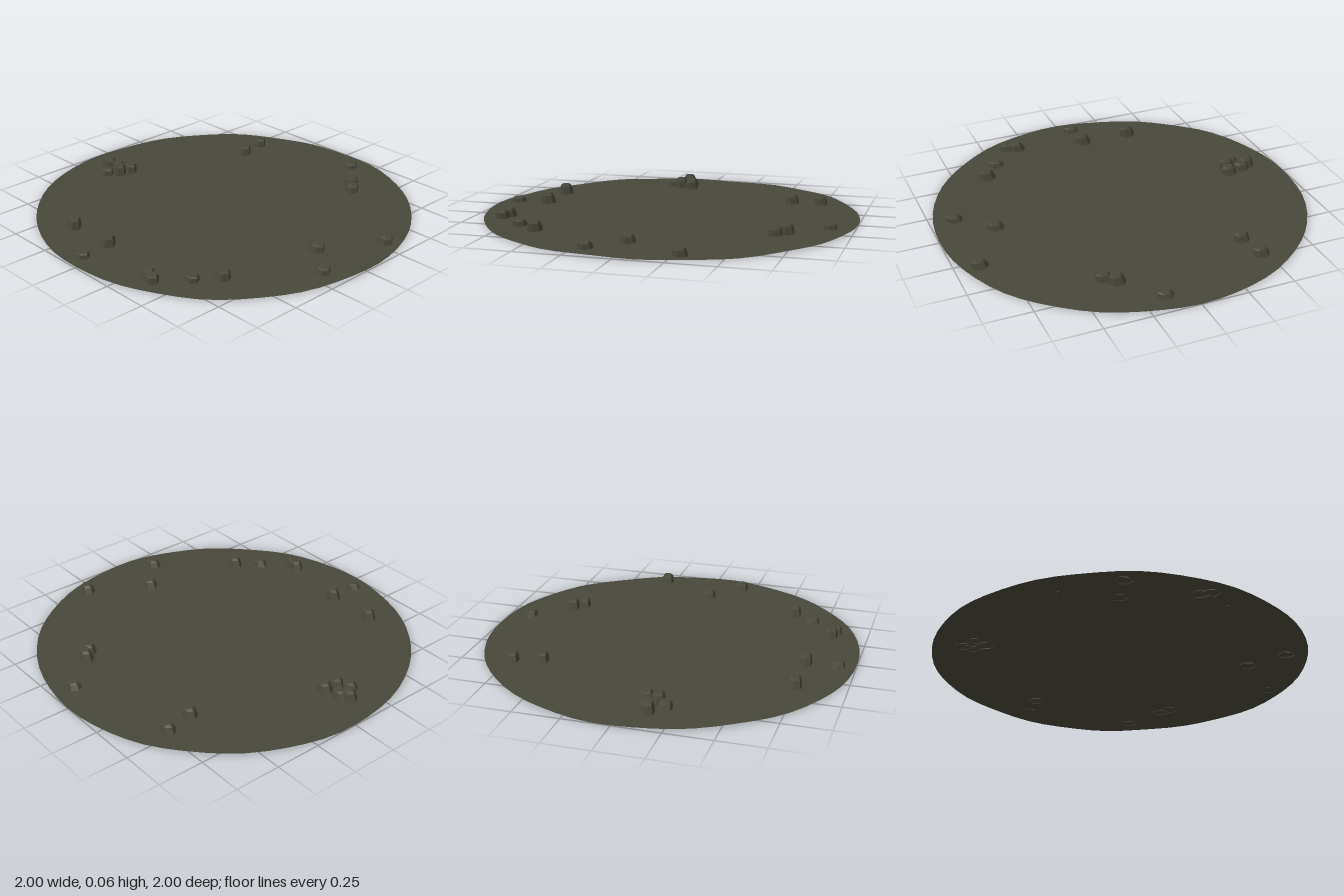
import * as THREE from 'three';

export function createModel() {
  const model = new THREE.Group();
  const earth = new THREE.MeshStandardMaterial({ color: 0x48473b, side: THREE.DoubleSide });
  earth.name = 'dark earth';
  earth.flatShading = true;

  // Ground: a thin fan whose rim rises and dips slightly
  const groundGeo = new THREE.CircleGeometry(1, 64);
  groundGeo.rotateX(-Math.PI / 2);
  const p = groundGeo.attributes.position;
  for (let i = 0; i < p.count; i++) {
    const a = Math.atan2(p.getZ(i), p.getX(i));
    const r = Math.hypot(p.getX(i), p.getZ(i));
    p.setY(i, 0.005 + r * (0.003 * Math.sin(5 * a + 1) + 0.002 * Math.sin(13 * a)));
  }
  groundGeo.computeVertexNormals();
  const ground = new THREE.Mesh(groundGeo, earth);
  ground.name = 'ground';
  model.add(ground);

  // Stone: six-sided, chamfered on top and leaning towards +x; unit height
  const profile = [[0.047, 0], [0.038, 0.78], [0.029, 1], [0, 1]]
    .map(([r, y]) => new THREE.Vector2(r, y));
  const stoneGeo = new THREE.LatheGeometry(profile, 6, Math.PI / 2);
  stoneGeo.scale(1, 1, 0.84);
  const s = stoneGeo.attributes.position;
  for (let i = 0; i < s.count; i++) s.setX(i, s.getX(i) + 0.012 * s.getY(i));
  stoneGeo.computeVertexNormals();

  // Stones: x, z, top height
  const places = [
    [0.13, -0.875, 0.036], [0.3, -0.685, 0.06], [0.35, -0.635, 0.05],
    [-0.465, -0.73, 0.05], [-0.435, -0.575, 0.057], [0.87, -0.29, 0.048],
    [0.69, 0.02, 0.048], [0.867, 0.175, 0.045], [0.57, 0.555, 0.056],
    [0.48, 0.675, 0.036], [0.31, 0.808, 0.055], [0.36, 0.825, 0.05],
    [-0.075, 0.74, 0.064], [-0.355, 0.74, 0.062], [-0.065, 0.91, 0.036],
    [-0.7, 0.08, 0.055], [-0.79, 0.1, 0.05], [-0.832, 0.125, 0.063],
    [-0.718, 0.145, 0.064], [-0.765, 0.195, 0.042],
  ];
  const stones = new THREE.Group();
  stones.name = 'stones';
  places.forEach(([x, z, top], i) => {
    const stone = new THREE.Mesh(stoneGeo, earth);
    stone.name = `stone${i + 1}`;
    stone.position.set(x, 0.003, z);
    stone.scale.y = top - 0.003;
    stones.add(stone);
  });
  model.add(stones);
  return model;
}
